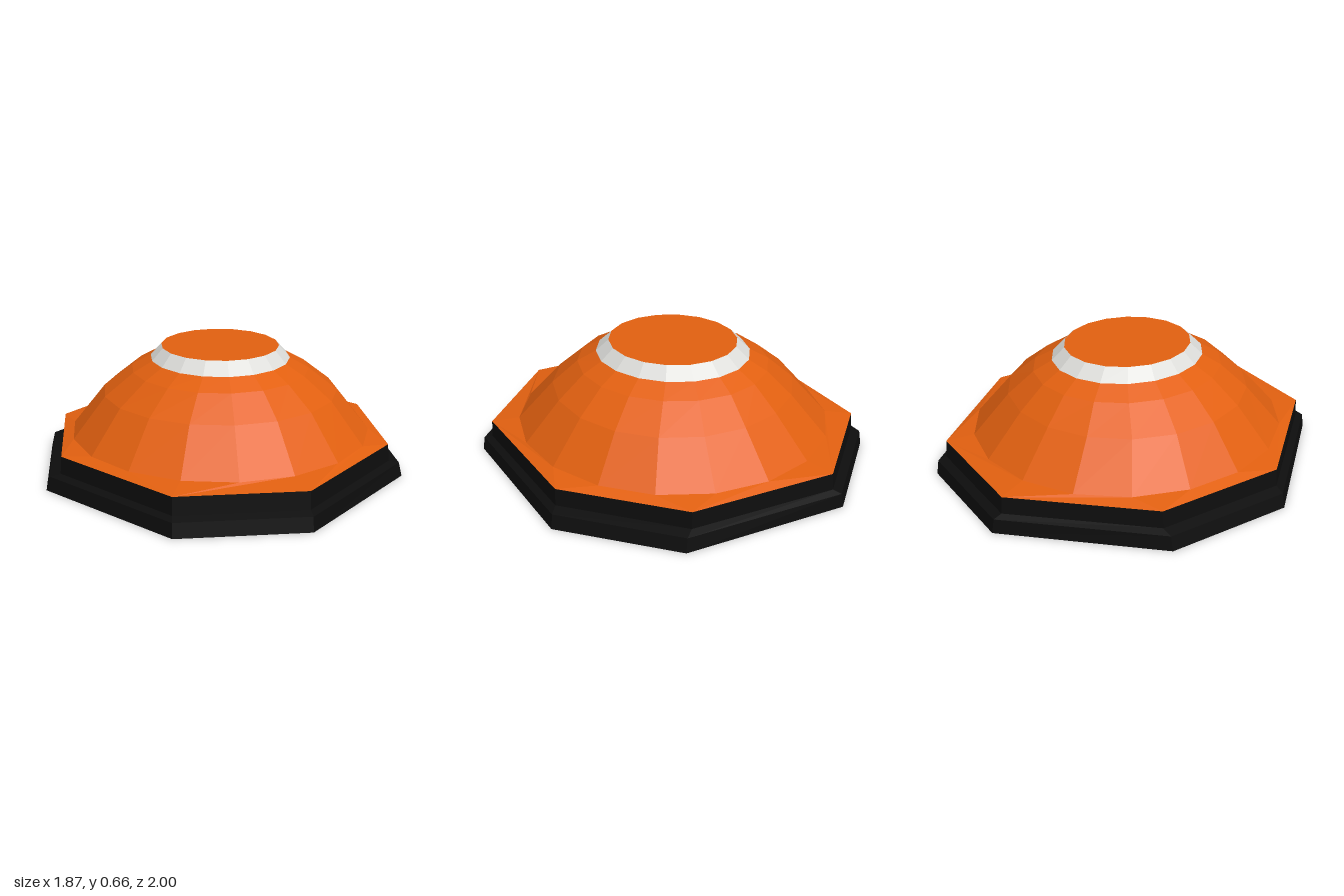
import * as THREE from 'three';

const make = (name, color) => {
  const m = new THREE.MeshStandardMaterial({ color, flatShading: true, side: THREE.DoubleSide });
  m.name = name;
  return m;
};

// Octagon with corners (±a, ±z) and (±x, ±b), counter-clockwise from above
function octagon(x, z, a, b, y) {
  return [[a, z], [x, b], [x, -b], [a, -z], [-a, -z], [-x, -b], [-x, b], [-a, z]]
    .map(([px, pz]) => new THREE.Vector3(px, y, pz));
}

// Eighteen-sided oval ring with half-widths rx and rz
function oval(rx, rz, y) {
  return Array.from({ length: 18 }, (_, i) => {
    const t = (i / 18) * Math.PI * 2;
    return new THREE.Vector3(rx * Math.sin(t), y, rz * Math.cos(t));
  });
}

// Faceted wall joining rings that run from bottom to top
function loft(rings) {
  const n = rings[0].length, index = [];
  for (let r = 0; r < rings.length - 1; r++) {
    for (let i = 0; i < n; i++) {
      const a = r * n + i, b = r * n + (i + 1) % n;
      index.push(a, b, b + n, a, b + n, a + n);
    }
  }
  const g = new THREE.BufferGeometry().setFromPoints(rings.flat());
  g.setIndex(index);
  const flat = g.toNonIndexed();
  flat.computeVertexNormals();
  return flat;
}

// Sheet filling an outer ring, optionally around an inner ring at its own height
function sheet(outer, inner) {
  const flatten = ring => ring.map(p => new THREE.Vector2(p.x, -p.z));
  const shape = new THREE.Shape(flatten(outer));
  if (inner) shape.holes.push(new THREE.Path(flatten(inner)));
  const g = new THREE.ShapeGeometry(shape).rotateX(-Math.PI / 2);
  const p = g.attributes.position;
  for (let i = 0; i < p.count; i++) {
    const onInner = inner && Math.hypot(p.getX(i), p.getZ(i)) < 0.88;
    p.setY(i, onInner ? inner[0].y : outer[0].y);
  }
  const flat = g.toNonIndexed();
  flat.computeVertexNormals();
  return flat;
}

export function createModel() {
  const group = new THREE.Group();
  const orange = make('orange', 0xe26010);
  const white = make('white', 0xdededb);
  const black = make('black', 0x0d0d0d);
  const add = (name, geometry, material) => {
    const mesh = new THREE.Mesh(geometry, material);
    mesh.name = name;
    group.add(mesh);
  };

  // Stepped octagonal base, open underneath
  const rim = octagon(0.85, 0.935, 0.325, 0.35, 0.182);
  add('base', loft([
    octagon(0.933, 1.0, 0.33, 0.345, 0),
    octagon(0.915, 0.988, 0.33, 0.345, 0.075),
    octagon(0.857, 0.942, 0.325, 0.35, 0.09),
    rim,
  ]), black);

  // Shallow flange from the octagon to the foot of the dome
  const foot = oval(0.803, 0.845, 0.203);
  add('flange', sheet(rim, foot), orange);

  // Hollow faceted dome
  const collar = oval(0.373, 0.415, 0.595);
  add('dome', loft([
    foot,
    oval(0.63, 0.65, 0.42),
    oval(0.475, 0.515, 0.54),
    collar,
  ]), orange);

  // White collar and closed orange top
  const top = oval(0.315, 0.345, 0.66);
  add('collar', loft([collar, top]), white);
  add('topCap', sheet(top), orange);

  return group;
}
